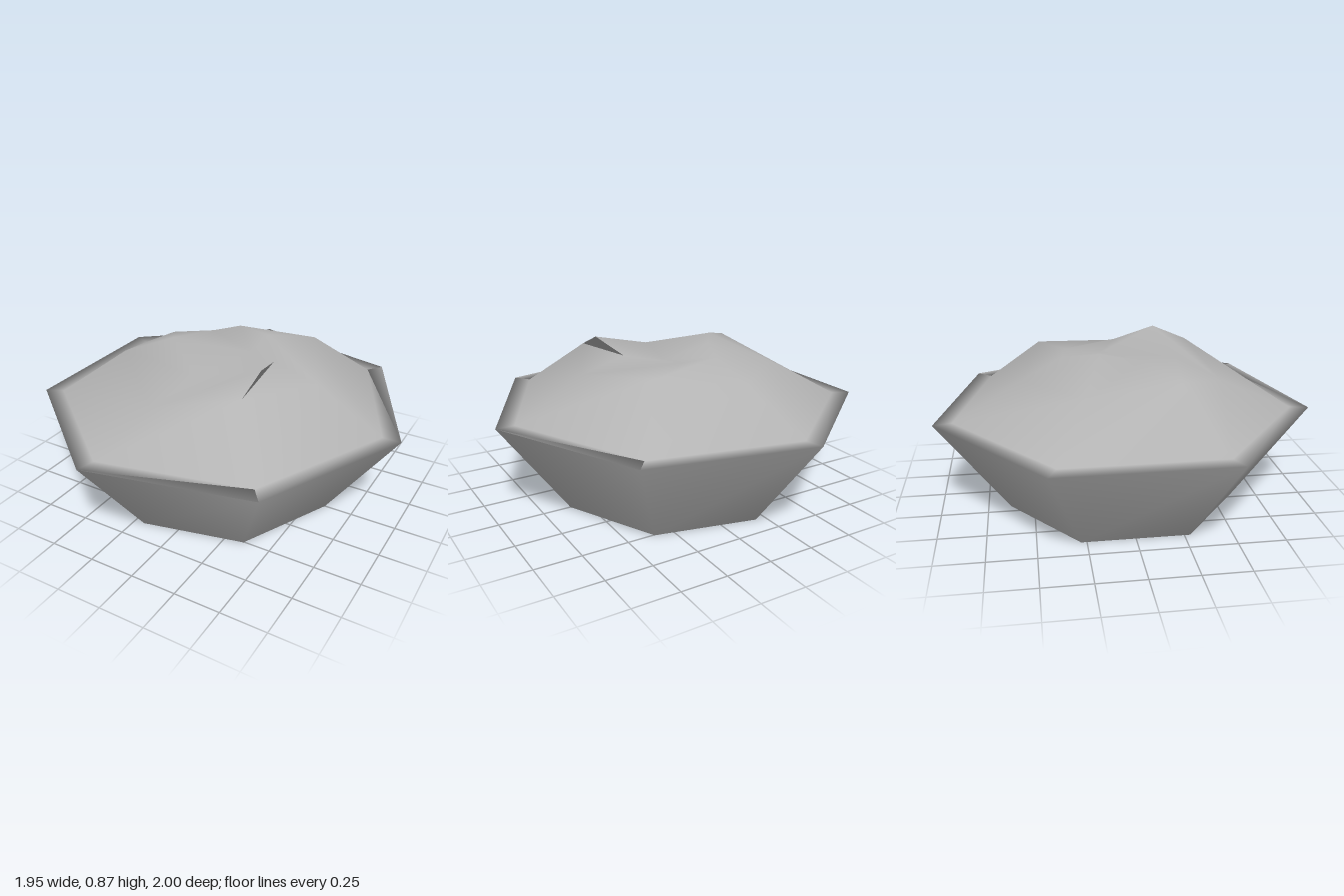
import * as THREE from 'three';

const SIDES = 7;
const OFFSET_X = -0.05; // puts the seven-sided outline's bounds on the centre

// One regular seven-sided ring; heights may be one number or one per corner
function ring(radius, heights) {
  return Array.from({ length: SIDES }, (_, i) => {
    const a = (i / SIDES) * Math.PI * 2;
    const y = Array.isArray(heights) ? heights[i] : heights;
    return [OFFSET_X + radius * Math.cos(a), y, radius * Math.sin(a)];
  });
}

export function createModel() {
  const group = new THREE.Group();
  group.name = 'filledBowl';

  const clay = new THREE.MeshStandardMaterial({ color: 0xb4b4b4, side: THREE.DoubleSide });
  clay.name = 'pale grey';

  const rings = [
    ring(0.645, 0),     // open foot
    ring(1.0257, 0.53), // outer rim
    ring(0.925, 0.53),  // inside of the flat lip
    ring(0.55, [0.74, 0.79, 0.67, 0.79, 0.73, 0.72, 0.8]), // shoulder of the mound
    // uneven crest
    [[0.25, 0.81, 0], [0.3, 0.87, 0.24], [-0.05, 0.78, 0.3], [-0.34, 0.85, 0.07],
      [-0.2, 0.85, -0.13], [-0.13, 0.825, -0.32], [0.06, 0.815, -0.3]],
  ];
  const hollow = [0.06, 0.785, -0.1];

  // Skin neighbouring rings, then close the crest at the hollow
  const index = [];
  const last = rings.length - 1;
  for (let k = 0; k <= last; k++) {
    for (let i = 0; i < SIDES; i++) {
      const j = (i + 1) % SIDES;
      const a = k * SIDES + i, b = k * SIDES + j;
      if (k === last) index.push(a, rings.length * SIDES, b);
      else index.push(a, a + SIDES, b, b, a + SIDES, b + SIDES);
    }
  }

  const geometry = new THREE.BufferGeometry();
  const points = [...rings.flat(), hollow].flat();
  geometry.setAttribute('position', new THREE.Float32BufferAttribute(points, 3));
  geometry.setIndex(index);
  geometry.computeVertexNormals(); // shared corners give the soft shading

  const bowl = new THREE.Mesh(geometry, clay);
  bowl.name = 'bowlWithMound';
  group.add(bowl);
  return group;
}
